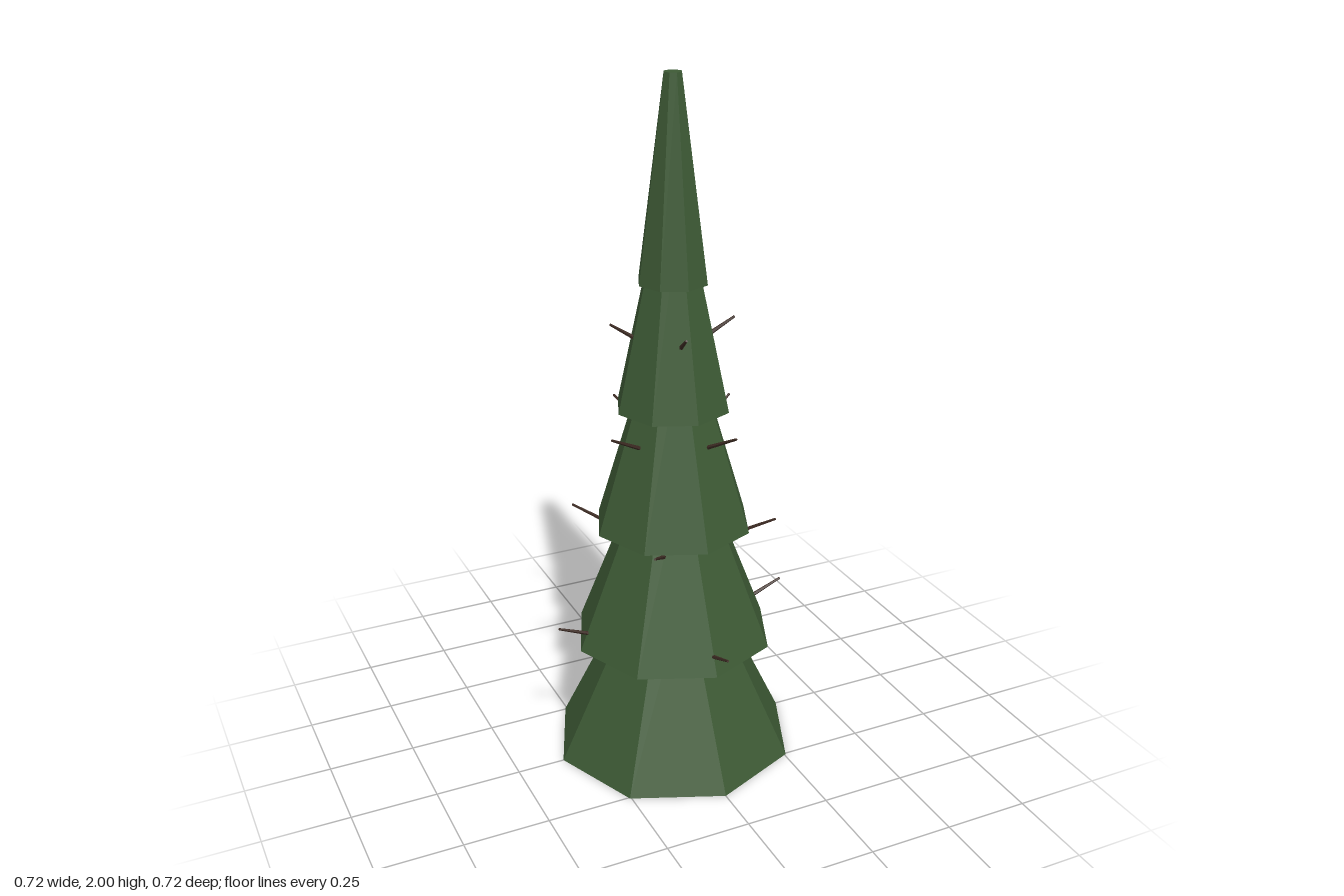
import * as THREE from 'three';

export function createModel() {
  const tree = new THREE.Group();
  tree.name = 'pineTree';

  const needles = new THREE.MeshStandardMaterial({
    color: 0x3d5a35, flatShading: true, side: THREE.DoubleSide,
  });
  const bark = new THREE.MeshStandardMaterial({ color: 0x3d2b23, flatShading: true });

  const add = (geometry, material, name) => {
    const mesh = new THREE.Mesh(geometry, material);
    mesh.name = name;
    tree.add(mesh);
    return mesh;
  };

  // Foliage: five hollow eight-sided skirts, each overlapping the one above
  const tierHeight = 0.56, tierStep = 0.36;
  for (let i = 0; i < 5; i++) {
    const radius = 0.36 - 0.065 * i;
    const skirt = new THREE.CylinderGeometry(radius * 0.25, radius, tierHeight, 8, 1, true);
    add(skirt, needles, `foliageTier${i + 1}`).position.y = tierStep * i + tierHeight / 2;
  }

  // Small flat cap that closes the top
  const cap = new THREE.CircleGeometry(0.025, 8).rotateX(-Math.PI / 2);
  add(cap, needles, 'tipCap').position.y = 2;

  // Trunk inside the foliage
  const trunk = new THREE.CylinderGeometry(0.015, 0.042, 1.7, 8);
  add(trunk, bark, 'trunk').position.y = 0.17 + 0.85;

  // Bare twigs: four per level, each level turned a little further
  const levels = [
    { tipRadius: 0.36, tipY: 0.45, slope: 0.4, reach: 0.13 },
    { tipRadius: 0.297, tipY: 0.75, slope: 0.47, reach: 0.16 },
    { tipRadius: 0.238, tipY: 1.047, slope: 0.53, reach: 0.13 },
    { tipRadius: 0.174, tipY: 1.33, slope: 0.64, reach: 0.085 },
  ];
  const up = new THREE.Vector3(0, 1, 0);
  levels.forEach(({ tipRadius, tipY, slope, reach }, level) => {
    for (let k = 0; k < 4; k++) {
      const angle = level * 0.6 + k * Math.PI / 2;
      const at = (r, y) => new THREE.Vector3(r * Math.cos(angle), y, r * Math.sin(angle));
      const tip = at(tipRadius, tipY);
      const root = at(tipRadius - reach, tipY - reach * slope);
      const along = tip.clone().sub(root);
      const twig = add(
        new THREE.CylinderGeometry(0.0035, 0.007, along.length(), 5), bark, 'twig');
      twig.position.copy(root).add(tip).multiplyScalar(0.5);
      twig.quaternion.setFromUnitVectors(up, along.normalize());
    }
  });

  return tree;
}
